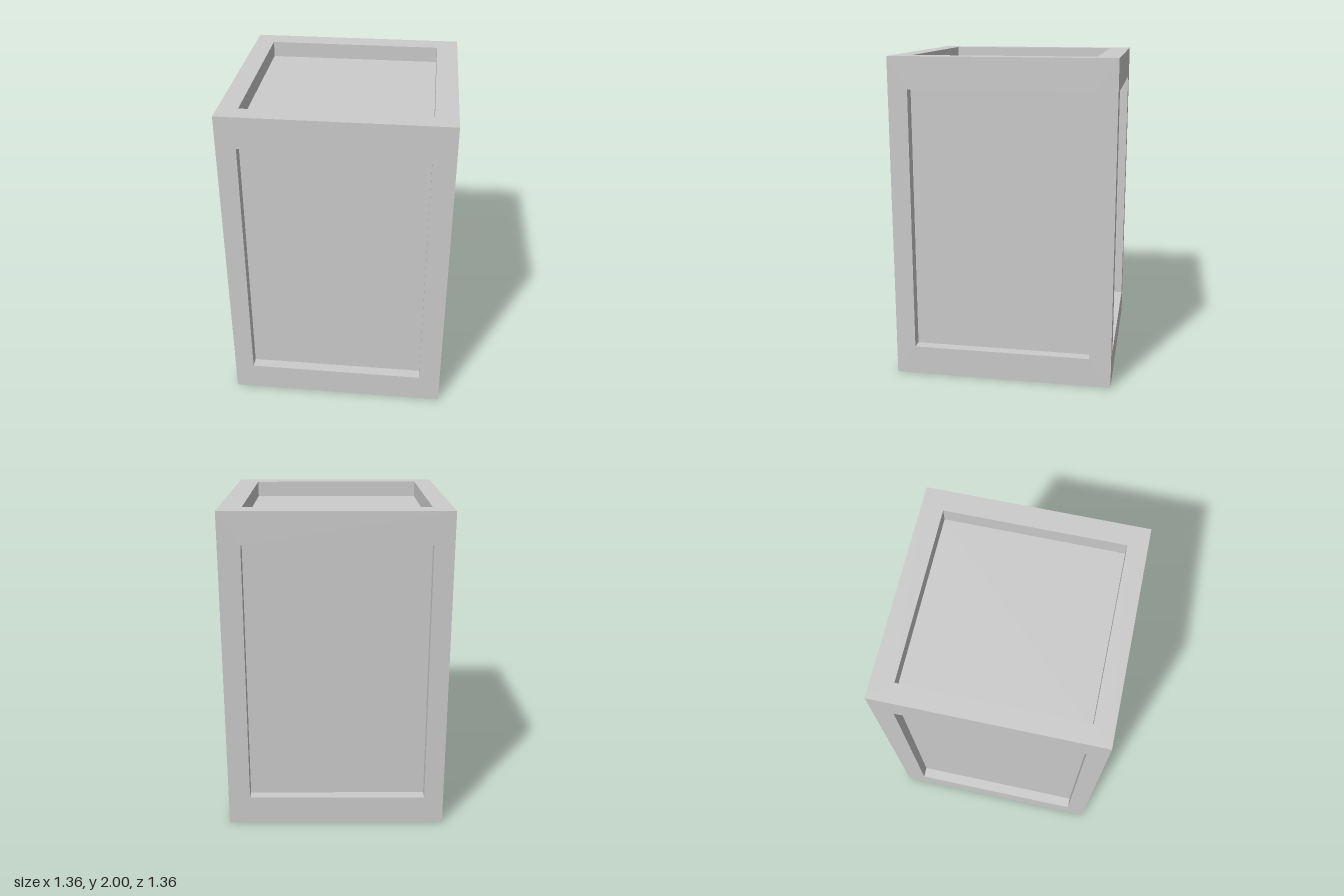
import * as THREE from 'three';

const W = 1.36, H = 2;
const NARROW = 0.12, WIDE = 0.135, LOW = 0.18, HIGH = 0.195;

// Four corners of a rectangle at depth z, counter-clockwise
const ring = (l, r, b, t, z) => [[l, b, z], [r, b, z], [r, t, z], [l, t, z]];

// A face with a border and a sunken panel, in the xy plane facing +z
function recessedFace(w, h, { left, right, bottom, top }, depth) {
  const x0 = -w / 2 + left, x1 = w / 2 - right;
  const y0 = -h / 2 + bottom, y1 = h / 2 - top;
  const rings = [
    ring(-w / 2, w / 2, -h / 2, h / 2, 0),
    ring(x0, x1, y0, y1, 0),
    ring(x0, x1, y0, y1, -depth),
  ];
  const pos = [];
  const quad = (a, b, c, d) => pos.push(...a, ...b, ...c, ...a, ...c, ...d);
  // border, then recess walls
  for (let k = 0; k < 2; k++) {
    for (let i = 0; i < 4; i++) {
      const j = (i + 1) % 4;
      quad(rings[k][i], rings[k][j], rings[k + 1][j], rings[k + 1][i]);
    }
  }
  quad(...rings[2]); // sunken panel
  const geo = new THREE.BufferGeometry();
  geo.setAttribute('position', new THREE.Float32BufferAttribute(pos, 3));
  geo.computeVertexNormals();
  return geo;
}

export function createModel() {
  const crate = new THREE.Group();
  crate.name = 'crate';
  const material = new THREE.MeshStandardMaterial({ color: 0xcccccc, flatShading: true });

  const add = (name, geo, position, rx, ry) => {
    const mesh = new THREE.Mesh(geo, material);
    mesh.name = name;
    mesh.position.set(...position);
    mesh.rotation.set(rx, ry, 0);
    crate.add(mesh);
  };

  // Four upright sides; the openings sit slightly towards -x and +z
  ['frontSide', 'leftSide', 'backSide', 'rightSide'].forEach((name, i) => {
    const a = i * Math.PI / 2;
    const [left, right] = i < 2 ? [NARROW, WIDE] : [WIDE, NARROW];
    const geo = recessedFace(W, H, { left, right, bottom: LOW, top: HIGH }, 0.067);
    add(name, geo, [Math.sin(a) * W / 2, H / 2, Math.cos(a) * W / 2], 0, a);
  });

  // Lid and base, with deeper recesses
  const lid = recessedFace(W, W, { left: NARROW, right: WIDE, bottom: NARROW, top: WIDE }, 0.1);
  add('lid', lid, [0, H, 0], -Math.PI / 2, 0);
  const base = recessedFace(W, W, { left: NARROW, right: WIDE, bottom: WIDE, top: NARROW }, 0.1);
  add('base', base, [0, 0, 0], Math.PI / 2, 0);

  return crate;
}
